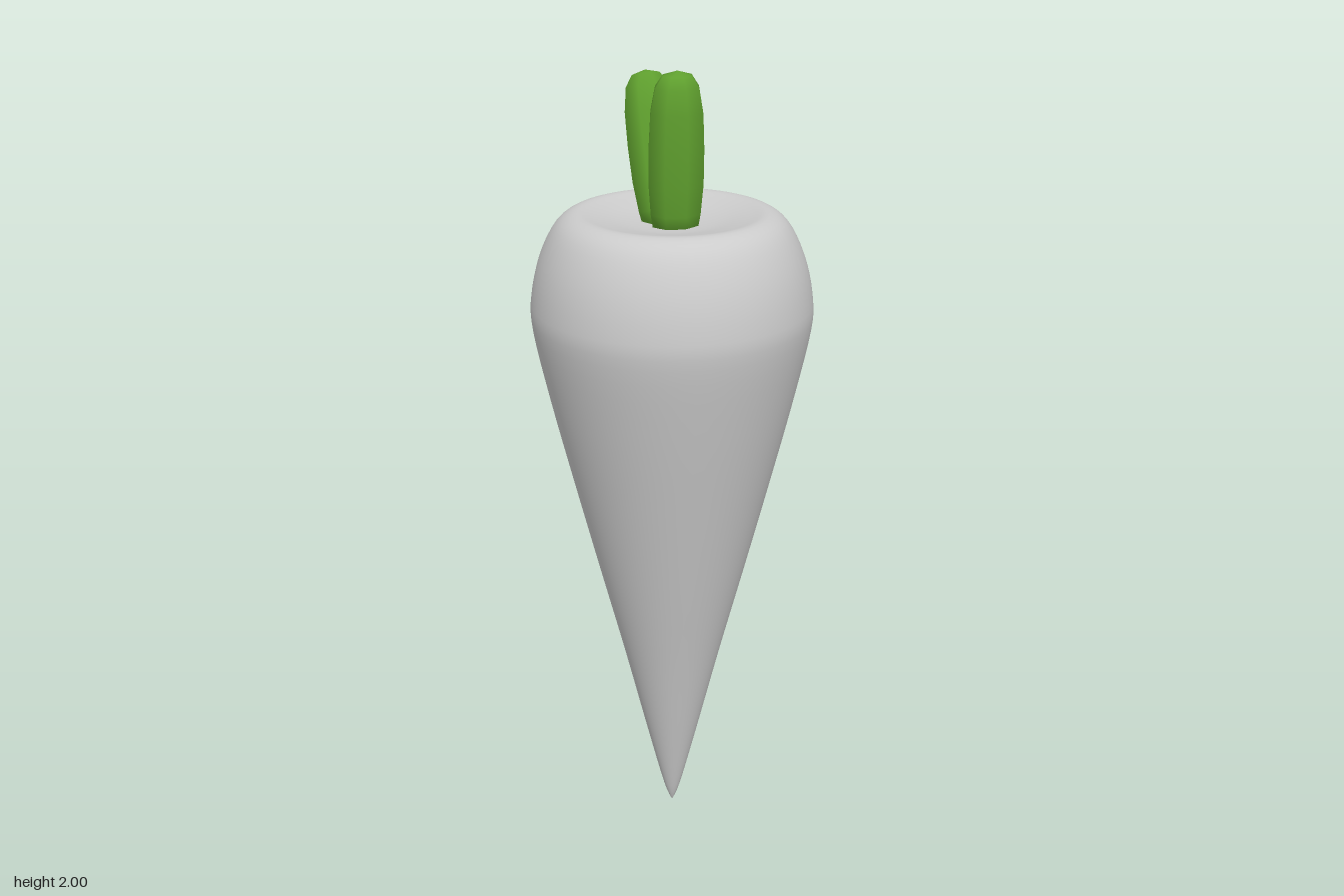
import * as THREE from 'three';

const v = (r, y) => new THREE.Vector2(r, y);

// Smooth curve through a few profile points, revolved about y
function turned(points, samples, sides) {
  const profile = new THREE.SplineCurve(points).getPoints(samples);
  profile.forEach(p => { p.x = Math.max(p.x, 0); });
  profile[profile.length - 1].x = 0;
  return new THREE.LatheGeometry(profile, sides);
}

export function createModel() {
  const model = new THREE.Group();
  model.name = 'carrot';

  // Tapering root with rounded shoulders and a shallow dished crown
  const root = new THREE.Mesh(
    turned([
      v(0, 0), v(0.022, 0.06), v(0.068, 0.25), v(0.126, 0.5), v(0.187, 0.75),
      v(0.247, 1.0), v(0.298, 1.22), v(0.334, 1.4), v(0.334, 1.48), v(0.313, 1.57),
      v(0.275, 1.645), v(0.23, 1.675), v(0.18, 1.668), v(0.1, 1.652), v(0, 1.645),
    ], 56, 64),
    new THREE.MeshStandardMaterial({ color: 0xcccccc })
  );
  root.name = 'root';
  model.add(root);

  // Stubby eight-sided stalks, one nearly upright and one leaning back
  const stalkGeometry = new THREE.LatheGeometry([
    v(0, 0), v(0.055, 0), v(0.064, 0.05), v(0.07, 0.12), v(0.07, 0.2),
    v(0.066, 0.28), v(0.055, 0.335), v(0.036, 0.362), v(0, 0.372),
  ], 8);
  stalkGeometry.scale(1, 1, 0.86);
  const green = new THREE.MeshStandardMaterial({ color: 0x5f9f2e });
  for (const [name, y, z, lean] of [
    ['frontStalk', 1.628, 0.017, 0.025],
    ['backStalk', 1.622, -0.03, -0.3],
  ]) {
    const stalk = new THREE.Mesh(stalkGeometry, green);
    stalk.name = name;
    stalk.position.set(0, y, z);
    stalk.rotation.x = lean;
    model.add(stalk);
  }
  return model;
}
